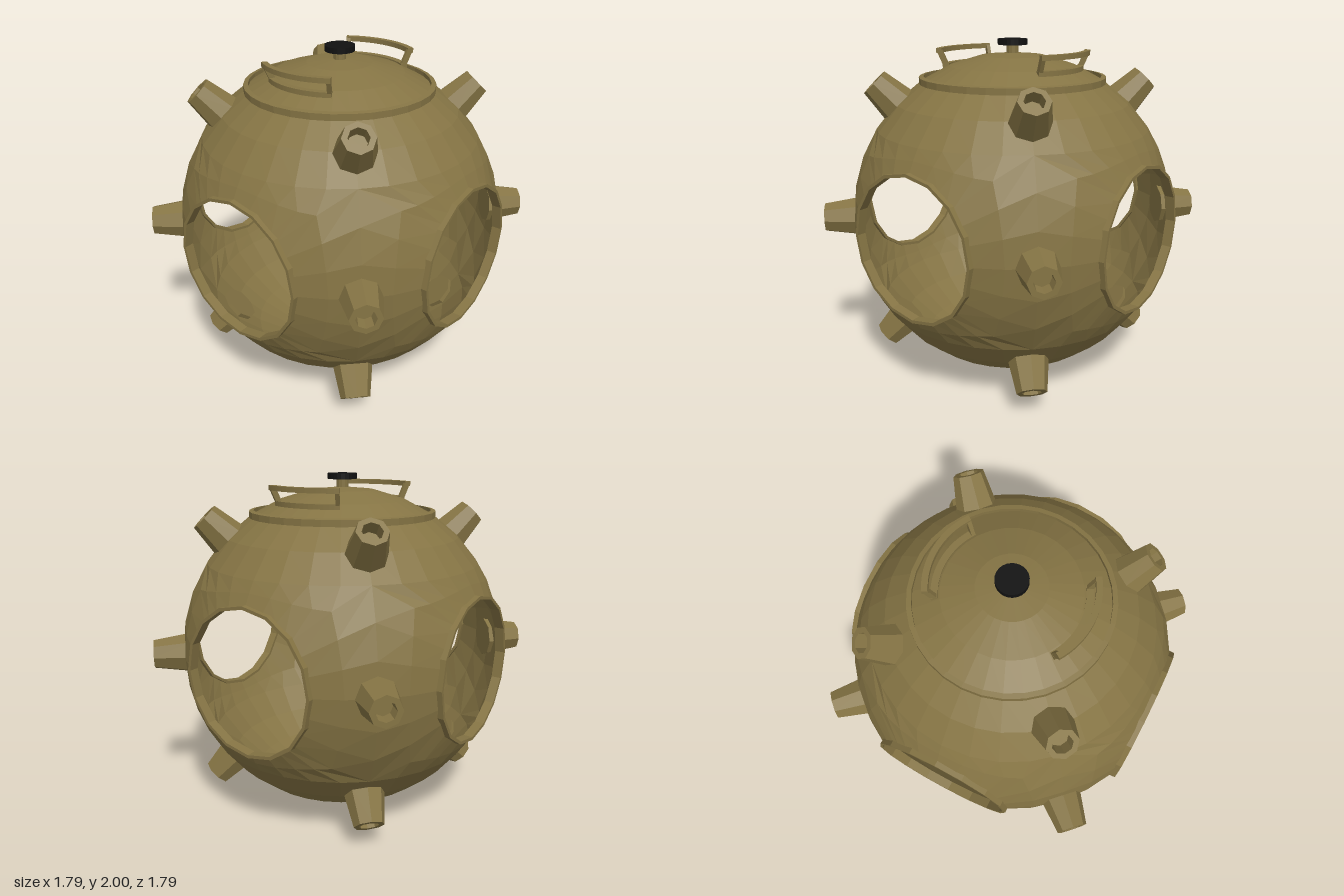
import * as THREE from 'three';

const R = 0.96, CY = 0.965, STEP = Math.PI / 16;
const HOLE = 0.41;
const olive = new THREE.MeshStandardMaterial({ color: 0x857444, flatShading: true, side: THREE.DoubleSide });
const black = new THREE.MeshStandardMaterial({ color: 0x111111, flatShading: true });

function add(parent, name, geometry, material = olive) {
  const mesh = new THREE.Mesh(geometry, material);
  mesh.name = name;
  parent.add(mesh);
  return mesh;
}

const lathe = (pairs, sides) =>
  new THREE.LatheGeometry(pairs.map(([x, y]) => new THREE.Vector2(x, y)), sides);

// Quarter of the sphere's middle band, facing +z, with a 16-sided port cut out
function portPatch() {
  const edge = [];
  const put = (i, j) => edge.push(new THREE.Vector3(
    Math.sin(i * STEP) * Math.cos(j * STEP), Math.sin(j * STEP),
    Math.cos(i * STEP) * Math.cos(j * STEP)).multiplyScalar(R));
  for (let i = -4; i < 4; i++) put(i, -3);
  for (let j = -3; j < 3; j++) put(4, j);
  for (let i = 4; i > -4; i--) put(i, 3);
  for (let j = 3; j > -3; j--) put(-4, j);

  const hole = edge.map(p => {
    const a = Math.atan2(p.y, p.x) + 2 * Math.PI;
    const r = HOLE * Math.cos(STEP) / Math.cos(a % (2 * STEP) - STEP);
    return new THREE.Vector3(r * Math.cos(a), r * Math.sin(a), Math.sqrt(R * R - r * r));
  });
  const point = (k, t) => hole[k].clone().lerp(edge[k], t).setLength(R);

  const pts = [], n = edge.length, rings = 2;
  for (let k = 0; k < n; k++) {
    for (let s = 0; s < rings; s++) {
      const m = (k + 1) % n, t0 = s / rings, t1 = (s + 1) / rings;
      const a = point(k, t0), b = point(k, t1), c = point(m, t1), d = point(m, t0);
      pts.push(a, b, c, a, c, d);
    }
  }
  const g = new THREE.BufferGeometry().setFromPoints(pts);
  g.computeVertexNormals();
  return g;
}

// Flat strip following an arc about the vertical axis, centred on +x
function arcStrip(r0, r1, half, y, height) {
  const s = new THREE.Shape();
  s.absarc(0, 0, r1, -half, half, false);
  s.absarc(0, 0, r0, half, -half, true);
  const g = new THREE.ExtrudeGeometry(s, { depth: height, bevelEnabled: false, curveSegments: 8 });
  return g.rotateX(-Math.PI / 2).translate(0, y, 0);
}

function createHandle() {
  const handle = new THREE.Group();
  handle.name = 'hatchHandle';
  add(handle, 'handleGrip', arcStrip(0.415, 0.448, 0.57, 1.915, 0.028));
  add(handle, 'handleFoot', arcStrip(0.375, 0.412, 0.57, 1.828, 0.028));
  // Sloping end legs
  for (const s of [-1, 1]) {
    const a = 0.54 * s;
    const low = new THREE.Vector3(0.388 * Math.cos(a), 1.835, 0.388 * Math.sin(a));
    const high = new THREE.Vector3(0.432 * Math.cos(a), 1.935, 0.432 * Math.sin(a));
    const leg = add(handle, 'handleLeg', new THREE.BoxGeometry(0.032, 0.022, low.distanceTo(high)));
    leg.position.copy(low).add(high).multiplyScalar(0.5);
    leg.up.set(-Math.sin(a), 0, Math.cos(a));
    leg.lookAt(high);
  }
  return handle;
}

export function createModel() {
  const model = new THREE.Group();
  model.name = 'portedSphere';

  // Everything placed around the sphere's centre
  const body = new THREE.Group();
  body.name = 'body';
  body.position.y = CY;
  model.add(body);

  // Top and bottom of the shell
  add(body, 'upperShell', new THREE.SphereGeometry(R, 32, 5, 0, Math.PI * 2, 0, 5 * STEP));
  add(body, 'lowerShell', new THREE.SphereGeometry(R, 32, 5, 0, Math.PI * 2, 11 * STEP, 5 * STEP));

  // Four open ports with rims
  const patch = portPatch();
  const rim = lathe([[0.418, 0.84], [0.418, 0.895], [0.4, 0.895], [0.4, 0.84], [0.418, 0.84]], 16)
    .rotateX(Math.PI / 2);
  for (let q = 0; q < 4; q++) {
    add(body, 'portShell', patch).rotation.y = q * Math.PI / 2;
    add(body, 'portRim', rim).rotation.y = q * Math.PI / 2;
  }

  // Twelve hollow-tipped studs on the diagonals
  const stud = lathe([[0, 0.92], [0.119, 0.92], [0.086, 1.13], [0.055, 1.13], [0.05, 1.06], [0, 1.06]], 8);
  const up = new THREE.Vector3(0, 1, 0);
  for (const lat of [-Math.PI / 4, 0, Math.PI / 4]) {
    for (let q = 0; q < 4; q++) {
      const dir = new THREE.Vector3().setFromSphericalCoords(1, Math.PI / 2 - lat, (q + 0.5) * Math.PI / 2);
      add(body, 'stud', stud).quaternion.setFromUnitVectors(up, dir);
    }
  }

  // Hatch rim, handles and top knob
  add(model, 'hatchRim', lathe(
    [[0.545, 1.74], [0.545, 1.79], [0.518, 1.795], [0.518, 1.74], [0.545, 1.74]], 32));
  for (const turn of [0, Math.PI]) {
    const handle = createHandle();
    handle.rotation.y = turn;
    model.add(handle);
  }
  add(model, 'knobStem', new THREE.CylinderGeometry(0.035, 0.035, 0.08, 12)).position.y = 1.935;
  add(model, 'knobDisc', new THREE.CylinderGeometry(0.086, 0.086, 0.032, 24), black).position.y = 1.984;

  return model;
}
